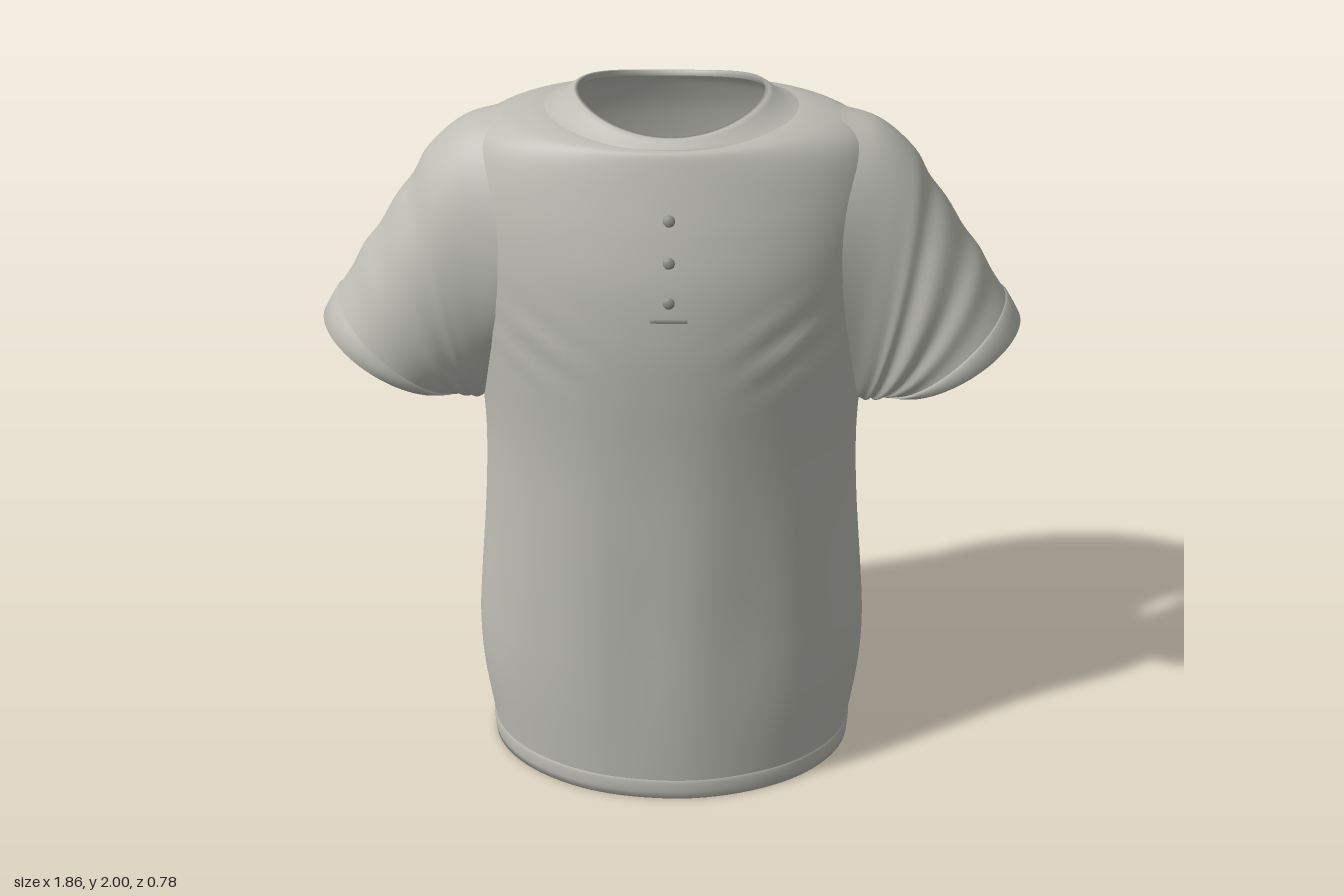
import * as THREE from 'three';

const fabric = new THREE.MeshStandardMaterial({ color: 0xbcbcb4, side: THREE.DoubleSide });
fabric.name = 'fabric';
const buttonGrey = new THREE.MeshStandardMaterial({ color: 0x8c8c88 });
buttonGrey.name = 'button grey';

const V = (x, y, z) => new THREE.Vector3(x, y, z);
const gauss = (d, w) => Math.exp(-(d * d) / (w * w));

// Torso rings: height, half width, front depth, back depth, neckline dip
const TORSO = [
  [0, .515, .36, .35, 0], [.06, .52, .363, .358, 0], [.25, .545, .365, .383, 0],
  [.4, .55, .365, .37, 0], [.55, .54, .365, .342, 0], [.8, .518, .368, .322, 0],
  [1, .508, .37, .312, 0], [1.15, .512, .375, .315, 0], [1.3, .525, .383, .32, 0],
  [1.45, .54, .386, .322, 0], [1.6, .555, .374, .322, 0], [1.72, .56, .345, .318, 0],
  [1.82, .545, .312, .306, 0], [1.89, .51, .287, .287, 0], [1.93, .45, .272, .273, .005],
  [1.952, .37, .26, .264, .02], [1.96, .30, .25, .258, .03], [1.972, .275, .242, .255, .036],
  [2, .245, .225, .248, .048],
];
// Sleeve rings: top x, top y, bottom x, bottom y, half depth
const SLEEVE = [
  [.43, 1.945, .41, 1.25, .235], [.53, 1.915, .47, 1.17, .215], [.62, 1.84, .505, 1.125, .207],
  [.68, 1.745, .525, 1.12, .204], [.78, 1.6, .545, 1.13, .203], [.855, 1.48, .562, 1.14, .2],
  [.928, 1.36, .582, 1.15, .2],
];

// Smooth interpolation of all columns of a ring table
function tableCurve(rows) {
  const a = new THREE.CatmullRomCurve3(rows.map(r => V(r[0], r[1], r[2])), false, 'catmullrom');
  const b = new THREE.CatmullRomCurve3(rows.map(r => V(r[3], r[4], 0)), false, 'catmullrom');
  return u => {
    const p = a.getPoint(u), q = b.getPoint(u);
    return [p.x, p.y, p.z, q.x, q.y];
  };
}
const torsoAt = tableCurve(TORSO), sleeveAt = tableCurve(SLEEVE);

// Soft folds running from the armpits and down the body
function bodyFolds(x, y, front) {
  const ax = Math.abs(x);
  const along = (ax - .36) + (y - 1.42), across = (y - 1.42) - .62 * (ax - .36);
  let d = .009 * Math.sin(across * 55) * gauss(across, .13) * gauss(along, .16);
  const low = gauss(y - .65, .5);
  d += .004 * low * Math.sin(x * 21 + (front ? 0 : 1.3));
  if (!front) d += .012 * gauss(x + .09, .06) * gauss(y - .35, .4);
  return d;
}

function torso(u, a, off = 0) {
  const [y, w, zf, zb, dip] = torsoAt(u);
  const c = Math.cos(a), s = Math.sin(a);
  const f = off + bodyFolds(c * w, y, s > 0) * Math.abs(s);
  return V(c * (w + off), y - dip * s * s, s * ((s > 0 ? zf : zb) + f));
}

function sleeve(u, a, off = 0) {
  const [tx, ty, bx, by, hz] = sleeveAt(u);
  const c = Math.cos(a), s = Math.sin(a);
  const ripple = .007 * Math.sin(u * 34 + c * 1.5) * gauss(u - .62, .2) * (.6 - .4 * s);
  const h = Math.hypot(tx - bx, ty - by) / 2;
  const k = c * (1 + (off + ripple) / h);
  return V((tx + bx) / 2 + k * (tx - bx) / 2, (ty + by) / 2 + k * (ty - by) / 2, -s * (hz + off + ripple));
}

// Surface through a list of [u, offset] rings; optional angle range and hole test
function loft(name, surf, rings, { m = 96, from = 0, to = Math.PI * 2, skip } = {}) {
  const closed = to - from > 6.28, cols = closed ? m : m + 1;
  const pts = [], index = [];
  for (const [u, off] of rings)
    for (let j = 0; j < cols; j++) pts.push(surf(u, from + (to - from) * j / m, off));
  for (let i = 0; i < rings.length - 1; i++)
    for (let j = 0; j < m; j++) {
      const j2 = (j + 1) % cols;
      const a = i * cols + j, b = i * cols + j2, c = a + cols, d = b + cols;
      if (skip && skip(pts[a].clone().add(pts[d]).multiplyScalar(.5))) continue;
      index.push(a, c, b, b, c, d);
    }
  const g = new THREE.BufferGeometry().setFromPoints(pts);
  g.setIndex(index);
  g.computeVertexNormals();
  const mesh = new THREE.Mesh(g, fabric);
  mesh.name = name;
  return mesh;
}
const span = (n, u0 = 0, u1 = 1, off = 0) =>
  Array.from({ length: n + 1 }, (_, i) => [u0 + (u1 - u0) * i / n, off]);

// Torso parameter for a given height
function uAt(y) {
  let lo = 0, hi = 1;
  for (let i = 0; i < 30; i++) {
    const mid = (lo + hi) / 2;
    if (torsoAt(mid)[0] < y) lo = mid; else hi = mid;
  }
  return lo;
}

export function createModel() {
  const shirt = new THREE.Group();
  shirt.name = 'shirt';

  // Body with open armholes
  const armhole = p => Math.abs(p.x) > .3 && (p.z / .175) ** 2 + ((p.y - 1.49) / .315) ** 2 < 1;
  shirt.add(loft('body', torso, span(108), { skip: armhole }));

  // Folded bottom hem
  const h = uAt(.065);
  shirt.add(loft('bottomHem', torso,
    [[h, -.002], [h * .93, .005], [h * .5, .006], [0, .005], [0, -.012], [h, -.012]]));

  // Collar band with rolled inner edge
  const n = uAt(1.957);
  shirt.add(loft('collar', torso,
    [[n, -.002], [n + .008, .006], [(n + 1) / 2, .007], [.985, .006], [1, .002], [1, -.008], [.96, -.014]]));

  // Sleeves with cuffs; the second is turned half way round
  for (const side of ['left', 'right']) {
    const arm = new THREE.Group();
    arm.name = side + 'Sleeve';
    arm.add(loft('sleeveTube', sleeve, span(48), { m: 72 }));
    arm.add(loft('sleeveCuff', sleeve,
      [[.9, -.002], [.91, .005], [.95, .005], [1, .003], [1, -.012], [.9, -.012]], { m: 72 }));
    if (side === 'right') arm.rotation.y = Math.PI;
    shirt.add(arm);
  }

  // Button placket lying on the chest
  const p0 = uAt(1.52), p1 = uAt(1.9), half = .085;
  shirt.add(loft('placket', torso,
    [[p0, -.002], [p0 + .003, .006], ...span(14, p0 + .006, p1, .006)],
    { m: 8, from: Math.PI / 2 - half, to: Math.PI / 2 + half }));

  // Buttons
  for (const y of [1.58, 1.68, 1.78]) {
    const u = uAt(y), p = torso(u, Math.PI / 2, .01);
    const q = torso(u + .01, Math.PI / 2, .01).sub(p);
    const b = new THREE.Mesh(new THREE.SphereGeometry(.015, 16, 10), buttonGrey);
    b.name = 'button';
    b.scale.z = .5;
    b.position.copy(p);
    b.rotation.x = Math.atan2(q.z, q.y);
    shirt.add(b);
  }
  return shirt;
}
